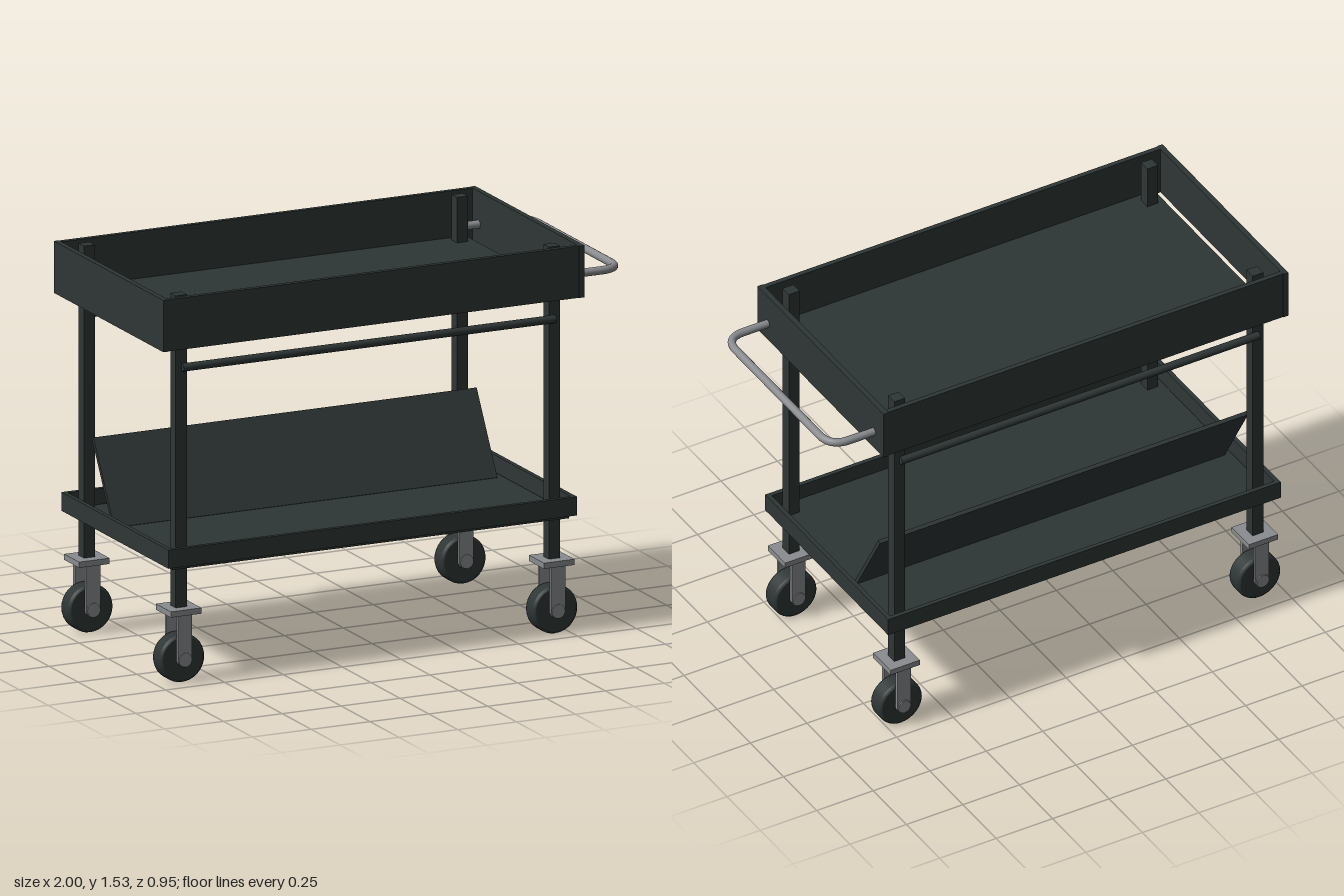
import * as THREE from 'three';

const dark = new THREE.MeshStandardMaterial({ color: 0x2e3635 });
dark.name = 'darkPaintedSteel';
const grey = new THREE.MeshStandardMaterial({ color: 0x8a8c90 });
grey.name = 'greyMetal';

const CX = -0.1025;            // centre of the cart body, the handle sticks out at +x
const POST_X = 0.7925, POST_Z = 0.397;

function add(parent, name, geometry, material, x = 0, y = 0, z = 0) {
  const mesh = new THREE.Mesh(geometry, material);
  mesh.name = name;
  mesh.position.set(x, y, z);
  parent.add(mesh);
  return mesh;
}

// Box given by its minimum and maximum on each axis
function box(parent, name, material, [x0, x1], [y0, y1], [z0, z1]) {
  return add(parent, name, new THREE.BoxGeometry(x1 - x0, y1 - y0, z1 - z0), material,
    (x0 + x1) / 2, (y0 + y1) / 2, (z0 + z1) / 2);
}

// Swivel caster: plate, fork, axle and wheel, with its origin on the ground
function createCaster() {
  const caster = new THREE.Group();
  caster.name = 'caster';
  const axleY = 0.095;
  box(caster, 'casterPlate', grey, [-0.065, 0.065], [0.272, 0.295], [-0.065, 0.065]);

  // fork arm with a rounded lower end
  const arm = new THREE.Shape();
  arm.moveTo(0.03, 0.275);
  arm.lineTo(-0.03, 0.275);
  arm.lineTo(-0.03, axleY);
  arm.absarc(0, axleY, 0.03, Math.PI, Math.PI * 2, false);
  arm.closePath();
  const armGeometry = new THREE.ExtrudeGeometry(arm, { depth: 0.014, bevelEnabled: false, curveSegments: 12 });
  add(caster, 'forkArm', armGeometry, grey, 0, 0, 0.043);
  add(caster, 'forkArm', armGeometry, grey, 0, 0, -0.057);

  const axle = new THREE.CylinderGeometry(0.028, 0.028, 0.124, 16).rotateX(Math.PI / 2);
  add(caster, 'axle', axle, grey, 0, axleY, 0);

  // tyre with softened shoulders
  const profile = [[0, -0.038], [0.085, -0.038], [0.085, -0.038], [0.092, -0.034], [0.095, -0.026],
    [0.095, -0.026], [0.095, 0.026], [0.095, 0.026], [0.092, 0.034], [0.085, 0.038], [0.085, 0.038], [0, 0.038]];
  const wheel = new THREE.LatheGeometry(profile.map(([r, h]) => new THREE.Vector2(r, h)), 32).rotateX(Math.PI / 2);
  add(caster, 'wheel', wheel, dark, 0, axleY, 0);
  return caster;
}

// U-shaped push handle
function createHandle(parent) {
  const y = 1.405, z = 0.4, xStart = 0.715, xEnd = 0.982, r = 0.085;
  const v = (x, zz) => new THREE.Vector3(x, y, zz);
  const path = new THREE.CurvePath();
  path.add(new THREE.LineCurve3(v(xStart, z), v(xEnd - r, z)));
  path.add(new THREE.QuadraticBezierCurve3(v(xEnd - r, z), v(xEnd, z), v(xEnd, z - r)));
  path.add(new THREE.LineCurve3(v(xEnd, z - r), v(xEnd, r - z)));
  path.add(new THREE.QuadraticBezierCurve3(v(xEnd, r - z), v(xEnd, -z), v(xEnd - r, -z)));
  path.add(new THREE.LineCurve3(v(xEnd - r, -z), v(xStart, -z)));
  add(parent, 'pushHandle', new THREE.TubeGeometry(path, 100, 0.016, 14, false), grey);
  for (const side of [-1, 1]) {
    const cap = new THREE.CircleGeometry(0.016, 14).rotateY(-Math.PI / 2);
    add(parent, 'handleEndCap', cap, grey, xStart, y, side * z);
  }
}

export function createModel() {
  const cart = new THREE.Group();
  cart.name = 'serviceCart';

  // Upper tray
  const upper = new THREE.Group();
  upper.name = 'upperTray';
  cart.add(upper);
  box(upper, 'upperFloor', dark, [-0.947, 0.742], [1.333, 1.35], [-0.455, 0.455]);
  for (const s of [-1, 1]) {
    const long = box(upper, 'upperLongBoard', dark, [-0.975, 0.77], [1.33, 1.535], [0.452, 0.472]);
    long.position.z *= s;
    const end = box(upper, 'upperEndBoard', dark, [-0.011, 0.011], [1.33, 1.535], [-0.475, 0.475]);
    end.position.x = CX + s * 0.884;
  }

  // Lower tray
  const lower = new THREE.Group();
  lower.name = 'lowerTray';
  cart.add(lower);
  box(lower, 'lowerFloor', dark, [-0.945, 0.74], [0.455, 0.478], [-0.447, 0.447]);
  for (const s of [-1, 1]) {
    const long = box(lower, 'lowerLongBoard', dark, [-0.971, 0.766], [0.467, 0.541], [0.445, 0.463]);
    long.position.z *= s;
    const end = box(lower, 'lowerEndBoard', dark, [-0.009, 0.009], [0.467, 0.541], [-0.445, 0.445]);
    end.position.x = CX + s * 0.859;
  }

  // Sloped panel on the lower tray
  const panel = add(cart, 'slopedPanel', new THREE.BoxGeometry(1.628, 0.36, 0.016), dark, CX, 0.632, -0.213);
  panel.rotation.x = -Math.PI / 6;

  // Posts and casters
  for (const sx of [-1, 1]) {
    for (const sz of [-1, 1]) {
      const x = CX + sx * POST_X, z = sz * POST_Z;
      add(cart, 'post', new THREE.BoxGeometry(0.047, 1.235, 0.047), dark, x, 0.9125, z);
      const caster = createCaster();
      caster.position.set(x, 0, z);
      cart.add(caster);
    }
  }

  // Side rails below the upper tray
  for (const s of [-1, 1]) {
    const rail = new THREE.CylinderGeometry(0.016, 0.016, 1.585, 16).rotateZ(Math.PI / 2);
    add(cart, 'sideRail', rail, dark, CX, 1.245, s * 0.427);
  }

  createHandle(cart);
  return cart;
}
